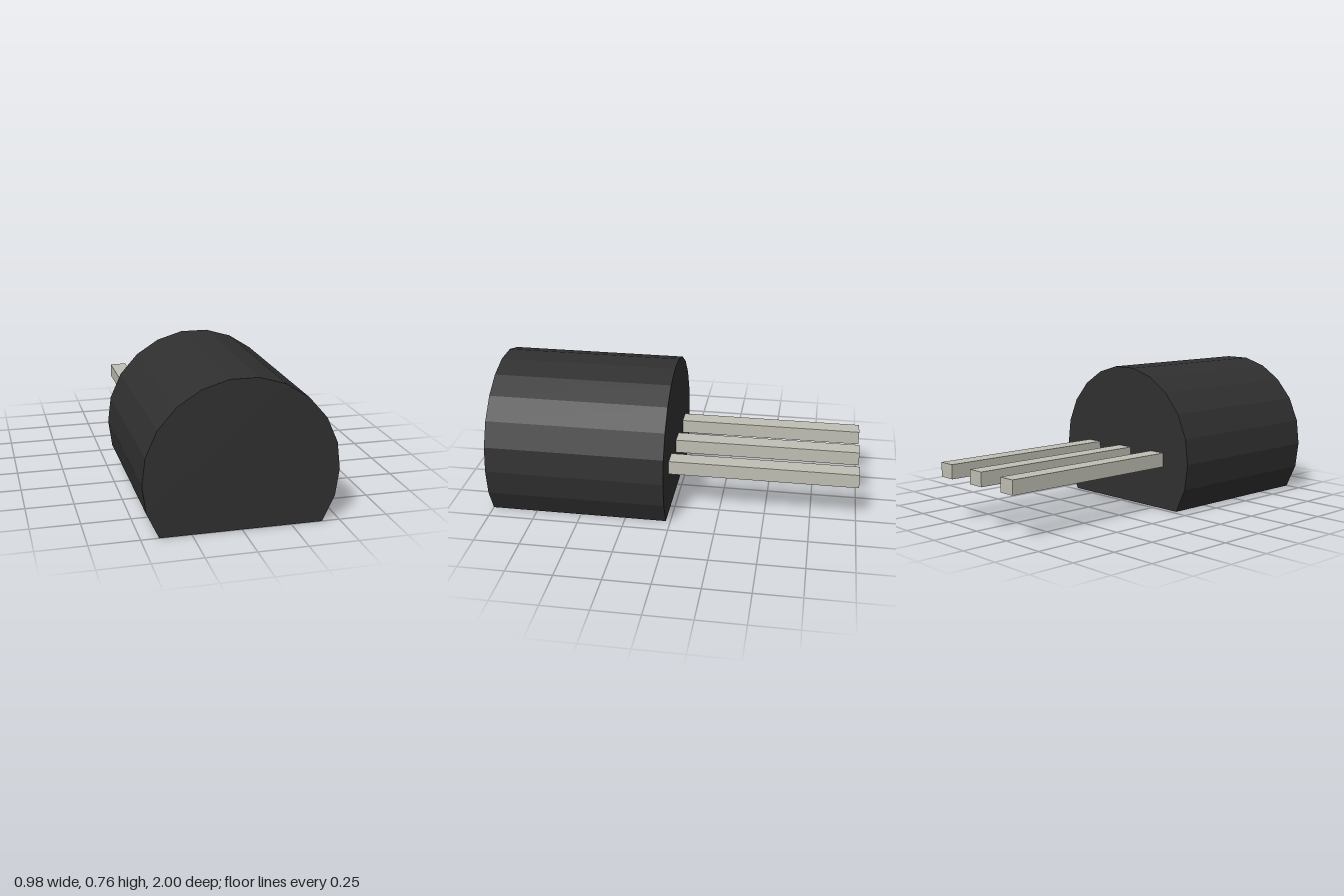
import * as THREE from 'three';

export function createModel() {
  const group = new THREE.Group();
  group.name = 'transistor';

  const blackPlastic = new THREE.MeshStandardMaterial({ color: 0x303030 });
  blackPlastic.name = 'black plastic';
  const tinnedMetal = new THREE.MeshStandardMaterial({ color: 0xc0bfb4 });
  tinnedMetal.name = 'tinned metal';

  // Body: faceted round section with a flat underside, mirrored across x = 0
  const half = [
    [0.41, 0], [0.471, 0.13], [0.49, 0.27], [0.473, 0.408],
    [0.415, 0.538], [0.321, 0.645], [0.204, 0.72], [0.071, 0.76],
  ];
  const outline = [
    ...half.map(([x, y]) => new THREE.Vector2(x, y)),
    ...half.slice().reverse().map(([x, y]) => new THREE.Vector2(-x, y)),
  ];
  const bodyBack = 0.025;
  const bodyGeometry = new THREE.ExtrudeGeometry(new THREE.Shape(outline), {
    depth: 1 - bodyBack, bevelEnabled: false,
  });
  bodyGeometry.translate(0, 0, bodyBack);
  const body = new THREE.Mesh(bodyGeometry, blackPlastic);
  body.name = 'body';
  group.add(body);

  // Three square leads running out of the back
  const leadLength = 1 + bodyBack;
  const leadGeometry = new THREE.BoxGeometry(0.096, 0.077, leadLength);
  [['rightLead', -0.259], ['middleLead', -0.003], ['leftLead', 0.254]].forEach(([name, x]) => {
    const lead = new THREE.Mesh(leadGeometry, tinnedMetal);
    lead.name = name;
    lead.position.set(x, 0.273, -1 + leadLength / 2);
    group.add(lead);
  });

  return group;
}
